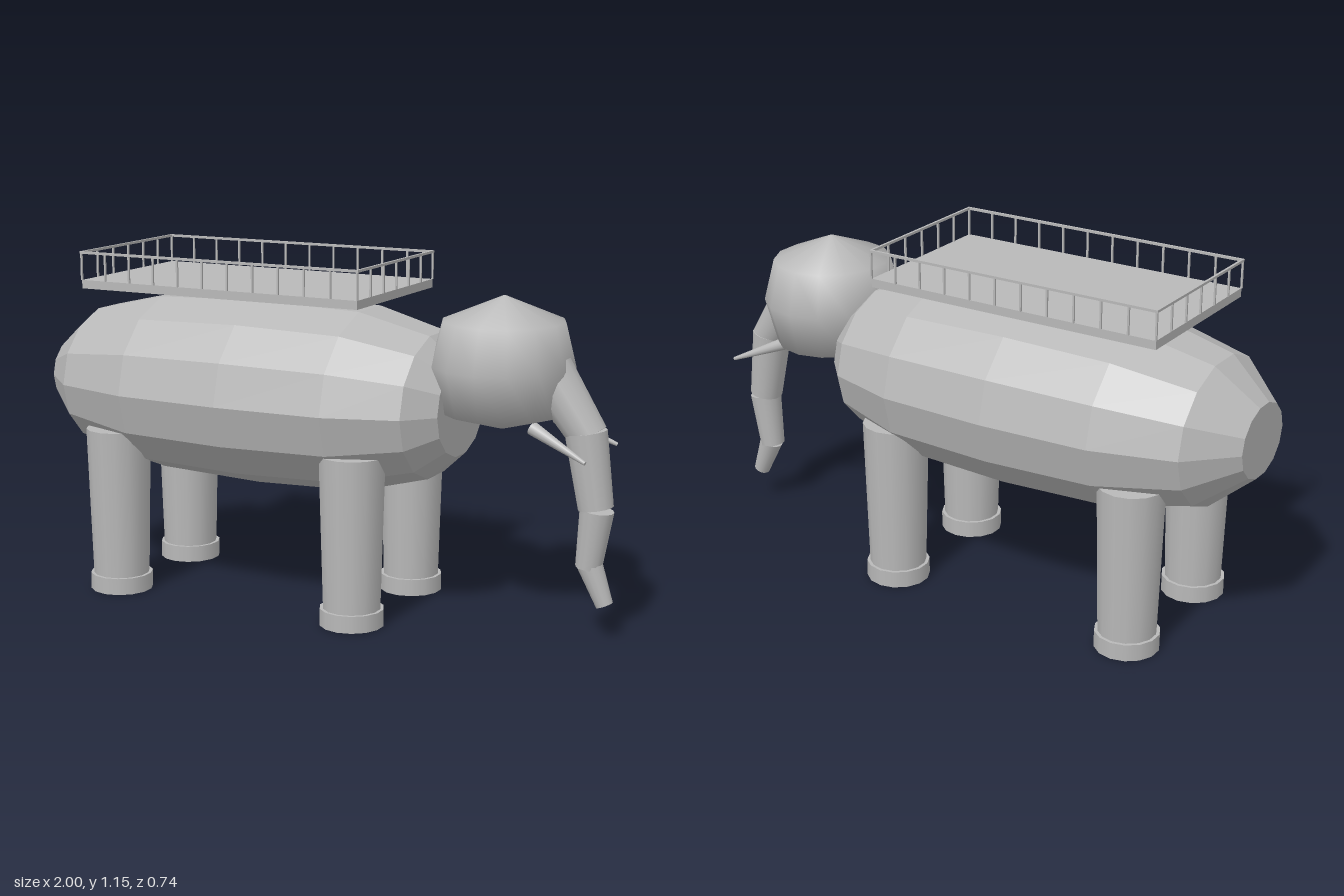
import * as THREE from 'three';

export function createModel() {
  const root = new THREE.Group();
  root.name = 'elephantWithPlatform';
  const grey = new THREE.MeshStandardMaterial({ color: 0xb8b8b8 });
  grey.name = 'grey';
  // same grey, faceted for the body
  const facetedGrey = new THREE.MeshStandardMaterial({ color: 0xb8b8b8 });
  facetedGrey.name = 'facetedGrey';
  facetedGrey.flatShading = true;
  const SIDES = 14;

  const add = (name, geometry, parent = root, material = grey) => {
    const mesh = new THREE.Mesh(geometry, material);
    mesh.name = name;
    parent.add(mesh);
    return mesh;
  };
  const group = (name) => {
    const g = new THREE.Group();
    g.name = name;
    root.add(g);
    return g;
  };
  const lathe = (points) => new THREE.LatheGeometry(points.map(([r, y]) => new THREE.Vector2(r, y)), SIDES);

  // Tapered cylinder from point a to point b
  const limb = (name, a, b, ra, rb, parent) => {
    const from = new THREE.Vector3(...a), to = new THREE.Vector3(...b);
    const dir = to.clone().sub(from);
    const mesh = add(name, new THREE.CylinderGeometry(rb, ra, dir.length(), SIDES), parent);
    mesh.position.copy(from).add(to).multiplyScalar(0.5);
    mesh.quaternion.setFromUnitVectors(new THREE.Vector3(0, 1, 0), dir.normalize());
    return mesh;
  };

  // Barrel body, turned around the x axis and flattened slightly
  const bodyGeo = lathe([
    [0, -1], [0.14, -1], [0.28, -0.86], [0.355, -0.59], [0.37, -0.22],
    [0.355, 0.15], [0.28, 0.39], [0.187, 0.475], [0, 0.475],
  ]);
  bodyGeo.rotateZ(-Math.PI / 2).scale(1, 0.846, 1);
  add('body', bodyGeo, root, facetedGrey).position.y = 0.695;

  // Head
  const head = add('head', lathe([
    [0.002, 0.64], [0.2, 0.695], [0.24, 0.845], [0.203, 0.985], [0.002, 1.064],
  ]));
  head.position.x = 0.615;
  head.scale.x = 0.95;

  // Trunk in four jointed segments
  const trunk = group('trunk');
  [
    [[0.766, 0.836], [0.904, 0.642], 0.08, 0.062],
    [[0.893, 0.658], [0.932, 0.42], 0.067, 0.056],
    [[0.936, 0.415], [0.914, 0.228], 0.054, 0.042],
    [[0.918, 0.237], [0.97, 0.112], 0.041, 0.028],
  ].forEach(([a, b, ra, rb], i) => limb(`trunkSegment${i + 1}`, [...a, 0], [...b, 0], ra, rb, trunk));

  // Tusks
  for (const [side, s] of [['front', 1], ['back', -1]]) {
    limb(`${side}SideTusk`, [0.755, 0.675, 0.1 * s], [0.945, 0.594, 0.148 * s], 0.022, 0.006);
  }

  // Legs and feet
  for (const x of [-0.68, 0.2]) {
    for (const z of [-0.223, 0.223]) {
      const leg = group(x > 0 ? 'frontLeg' : 'rearLeg');
      limb('legColumn', [x, 0.05, z], [x, 0.557, z], 0.094, 0.108, leg);
      limb('foot', [x, 0, z], [x, 0.056, z], 0.105, 0.105, leg);
    }
  }

  // Platform with railing
  const platform = group('platform');
  const cx = -0.265, halfX = 0.508, halfZ = 0.278, deckTop = 1.056, railY = 1.147;
  const box = (name, w, h, d, x, y, z) =>
    add(name, new THREE.BoxGeometry(w, h, d), platform).position.set(x, y, z);
  box('deck', 1.016, 0.028, 0.556, cx, 1.042, 0);

  const postHeight = railY - deckTop;
  const post = (x, z) => box('post', 0.006, postHeight, 0.006, x, deckTop + postHeight / 2, z);
  for (const s of [-1, 1]) {
    box('longRail', 2 * halfX + 0.008, 0.008, 0.008, cx, railY, s * halfZ);
    box('shortRail', 0.008, 0.008, 2 * halfZ + 0.008, cx + s * halfX, railY, 0);
    for (let i = 0; i <= 11; i++) post(cx - halfX + (2 * halfX * i) / 11, s * halfZ);
    for (let i = 1; i < 6; i++) post(cx + s * halfX, -halfZ + (2 * halfZ * i) / 6);
  }
  return root;
}
